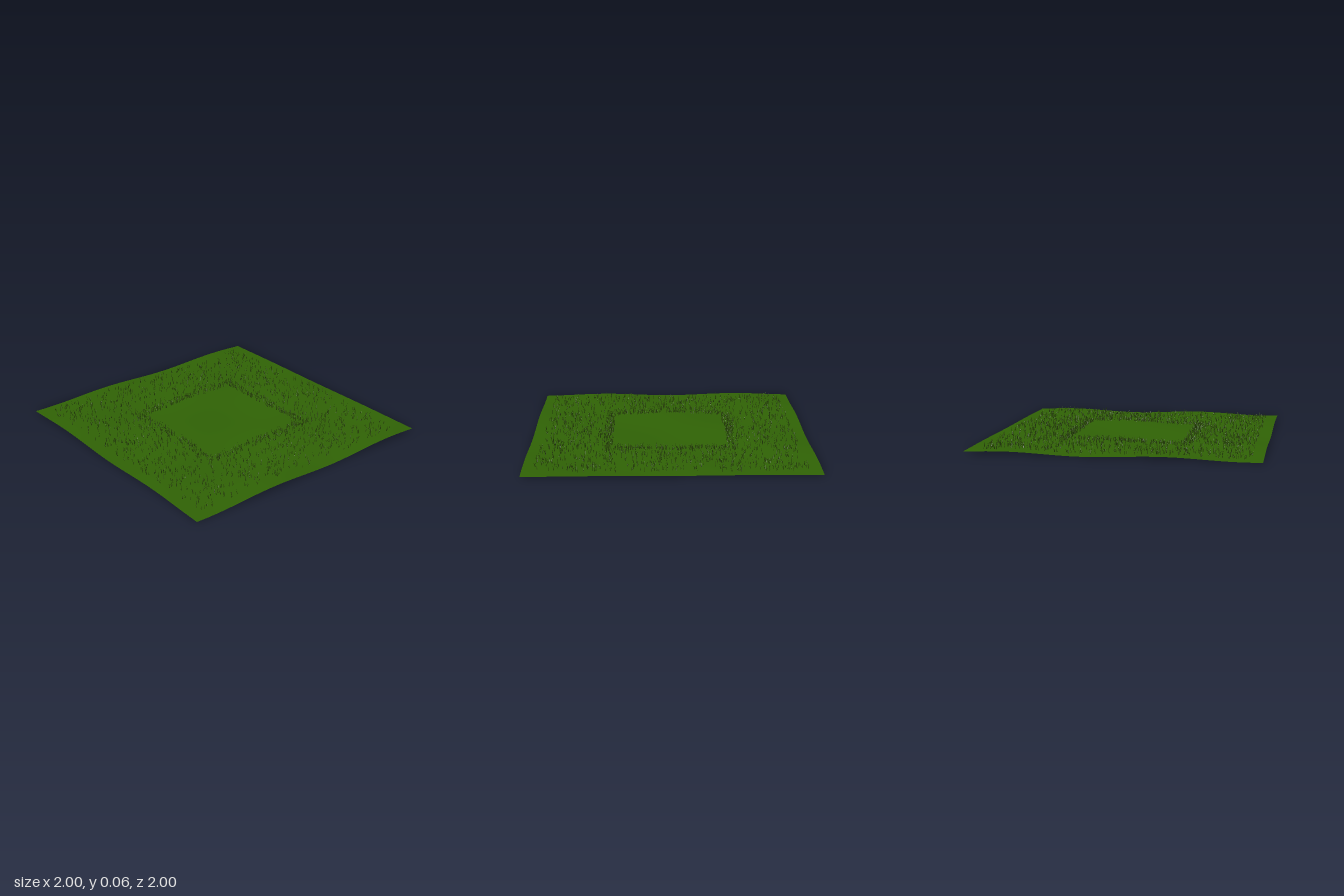
import * as THREE from 'three';

const groundMat = new THREE.MeshStandardMaterial({ name: 'grassGreen', color: 0x306305, side: THREE.DoubleSide });
const bladeMat = new THREE.MeshStandardMaterial({ name: 'bladeGreen', color: 0x315409, side: THREE.DoubleSide });

// Gentle rolling height of the lawn
const heightAt = (x, z) =>
  0.012 - 0.01 * Math.sin(5.9 * (x + 1.15)) * Math.sin(5.9 * (1.31 - z));

// Small seeded generator
function makeRandom(seed) {
  return () => {
    seed = (seed * 1664525 + 1013904223) % 4294967296;
    return seed / 4294967296;
  };
}

function createGround() {
  const geo = new THREE.PlaneGeometry(2, 2, 64, 64).rotateX(-Math.PI / 2);
  const pos = geo.attributes.position;
  for (let i = 0; i < pos.count; i++) pos.setY(i, heightAt(pos.getX(i), pos.getZ(i)));
  geo.computeVertexNormals();
  const mesh = new THREE.Mesh(geo, groundMat);
  mesh.name = 'ground';
  return mesh;
}

// Tufts of leaning blades scattered over a square frame between two half-widths
function createTufts(name, count, inner, outer, seed) {
  const rand = makeRandom(seed);
  const verts = [];
  let placed = 0;
  while (placed < count) {
    const x = (rand() * 2 - 1) * outer;
    const z = (rand() * 2 - 1) * outer;
    if (Math.max(Math.abs(x), Math.abs(z)) < inner) continue;
    placed++;
    const y = heightAt(x, z);
    const turn = rand() * Math.PI * 2;
    // Three blades per tuft, each one tapering triangle
    for (let k = 0; k < 3; k++) {
      const a = turn + (k * Math.PI * 2) / 3 + (rand() - 0.5);
      const c = Math.cos(a), s = Math.sin(a);
      const w = 0.0026, lean = 0.002 + rand() * 0.012, h = 0.02 + rand() * 0.022;
      verts.push(
        x - s * w, y, z + c * w,
        x + s * w, y, z - c * w,
        x + c * lean, y + h, z + s * lean
      );
    }
  }
  const geo = new THREE.BufferGeometry();
  geo.setAttribute('position', new THREE.Float32BufferAttribute(verts, 3));
  geo.computeVertexNormals();
  const mesh = new THREE.Mesh(geo, bladeMat);
  mesh.name = name;
  return mesh;
}

export function createModel() {
  const group = new THREE.Group();
  group.name = 'grassPatch';
  group.add(createGround());
  group.add(createTufts('outerGrass', 1400, 0.48, 0.92, 11)); // loose field
  group.add(createTufts('borderGrass', 560, 0.41, 0.48, 57)); // dense border around the clearing
  return group;
}
